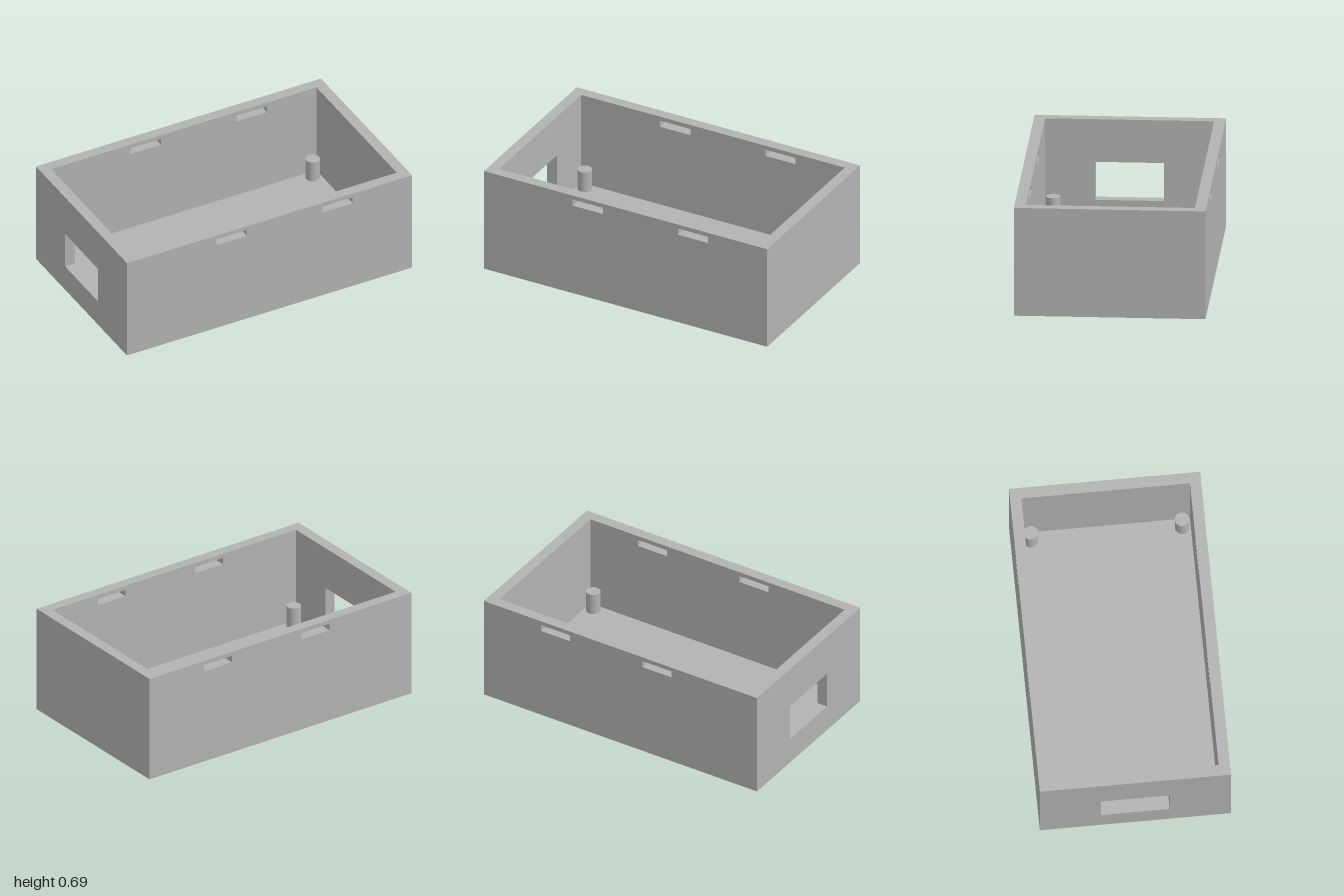
import * as THREE from 'three';

const L = 2, W = 1.186, H = 0.695, T = 0.07;   // outer size and wall thickness
const inX = L / 2 - T, inZ = W / 2 - T;         // inner half sizes

function rectPoints(cls, x0, y0, x1, y1) {
  const p = new cls();
  p.moveTo(x0, y0);
  p.lineTo(x1, y0);
  p.lineTo(x1, y1);
  p.lineTo(x0, y1);
  p.closePath();
  return p;
}

// Upright panel of thickness T, centred in depth, with rectangular holes
function panel(halfWidth, holes) {
  const shape = rectPoints(THREE.Shape, -halfWidth, 0, halfWidth, H);
  holes.forEach(h => shape.holes.push(rectPoints(THREE.Path, ...h)));
  const geo = new THREE.ExtrudeGeometry(shape, { depth: T, bevelEnabled: false });
  return geo.translate(0, 0, -T / 2);
}

export function createModel() {
  const group = new THREE.Group();
  const grey = new THREE.MeshStandardMaterial({ color: 0xb2b2b2 });
  grey.name = 'grey plastic';

  const add = (name, geo, x, y, z) => {
    const mesh = new THREE.Mesh(geo, grey);
    mesh.name = name;
    mesh.position.set(x, y, z);
    group.add(mesh);
  };

  // Long walls, each with two lid slots near the rim
  const slots = [[-0.373, 0.623, -0.16, 0.667], [0.37, 0.623, 0.583, 0.667]];
  add('frontWall', panel(L / 2, slots), 0, 0, inZ + T / 2);
  add('backWall', panel(L / 2, slots), 0, 0, -inZ - T / 2);

  // End walls; the one on -x has a connector opening
  const opening = [-0.213, 0.175, 0.213, 0.42];
  add('leftWall', panel(inZ, []).rotateY(Math.PI / 2), inX + T / 2, 0, 0);
  add('rightWall', panel(inZ, [opening]).rotateY(Math.PI / 2), -inX - T / 2, 0, 0);

  // Floor
  add('floor', new THREE.BoxGeometry(2 * inX, T, 2 * inZ), 0, T / 2, 0);

  // Mounting posts in the corners
  const postHeight = 0.14;
  for (const sx of [-1, 1]) {
    for (const sz of [-1, 1]) {
      add('mountingPost', new THREE.CylinderGeometry(0.045, 0.045, postHeight, 40),
        sx * 0.875, T + postHeight / 2, sz * 0.469);
    }
  }
  return group;
}
